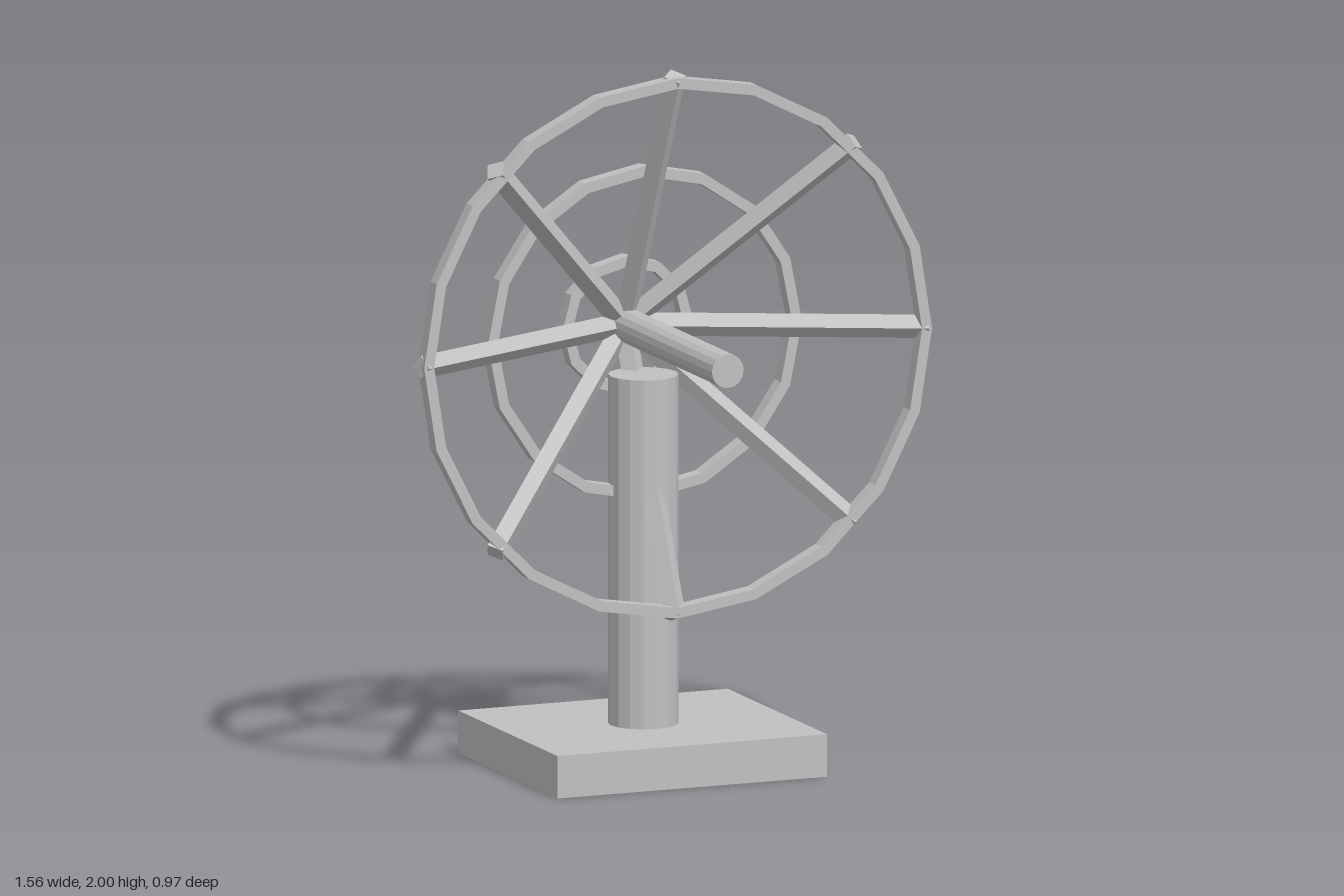
import * as THREE from 'three';

const HUB_Y = 1.222;
const APEX_Z = -0.26;

// Flat polygonal hoop with a rectangular section, centred on z = 0
function hoopGeometry(outer, inner, depth, sides) {
  const loop = (r) => Array.from({ length: sides }, (_, i) => {
    const a = (i / sides) * Math.PI * 2;
    return new THREE.Vector2(Math.cos(a) * r, Math.sin(a) * r);
  });
  const shape = new THREE.Shape(loop(outer));
  shape.holes.push(new THREE.Path(loop(inner)));
  return new THREE.ExtrudeGeometry(shape, { depth, bevelEnabled: false }).translate(0, 0, -depth / 2);
}

export function createModel() {
  const model = new THREE.Group();
  model.name = 'dishAntenna';
  const grey = new THREE.MeshStandardMaterial({ color: 0xc0c0c0, flatShading: true });
  grey.name = 'plain grey';

  const add = (name, geometry, x, y, z, parent = model) => {
    const mesh = new THREE.Mesh(geometry, grey);
    mesh.name = name;
    mesh.position.set(x, y, z);
    parent.add(mesh);
    return mesh;
  };

  // Base slab and column
  add('base', new THREE.BoxGeometry(0.81, 0.12, 0.71), 0, 0.06, -0.13);
  add('column', new THREE.CylinderGeometry(0.098, 0.098, 0.985, 16), 0, 0.6125, -0.125);

  // Dish frame, centred on the hub axis
  const dish = new THREE.Group();
  dish.name = 'dishFrame';
  dish.position.y = HUB_Y;
  model.add(dish);

  // Feed tube along the axis
  const feedLength = 0.735;
  add('feedTube', new THREE.CylinderGeometry(0.048, 0.048, feedLength, 16).rotateX(Math.PI / 2),
    0, 0, 0.48 - feedLength / 2, dish);

  // Three hoops: name, outer radius, z, sides
  for (const [name, radius, z, sides] of [
    ['outerHoop', 0.763, 0.102, 20],
    ['middleHoop', 0.472, -0.135, 16],
    ['innerHoop', 0.196, -0.257, 12],
  ]) add(name, hoopGeometry(radius, radius - 0.03, 0.045, sides), 0, 0, z, dish);

  // Eight diamond-section spokes from the apex to the outer hoop
  const reach = 0.764, rise = 0.102 - APEX_Z;
  const spoke = new THREE.CylinderGeometry(0.033, 0.033, Math.hypot(reach, rise), 4)
    .rotateX(Math.atan2(rise, reach))
    .translate(0, reach / 2, rise / 2);
  for (let i = 0; i < 8; i++) {
    add('spoke' + (i + 1), spoke, 0, 0, APEX_Z, dish).rotation.z = (i * Math.PI) / 4;
  }
  return model;
}
